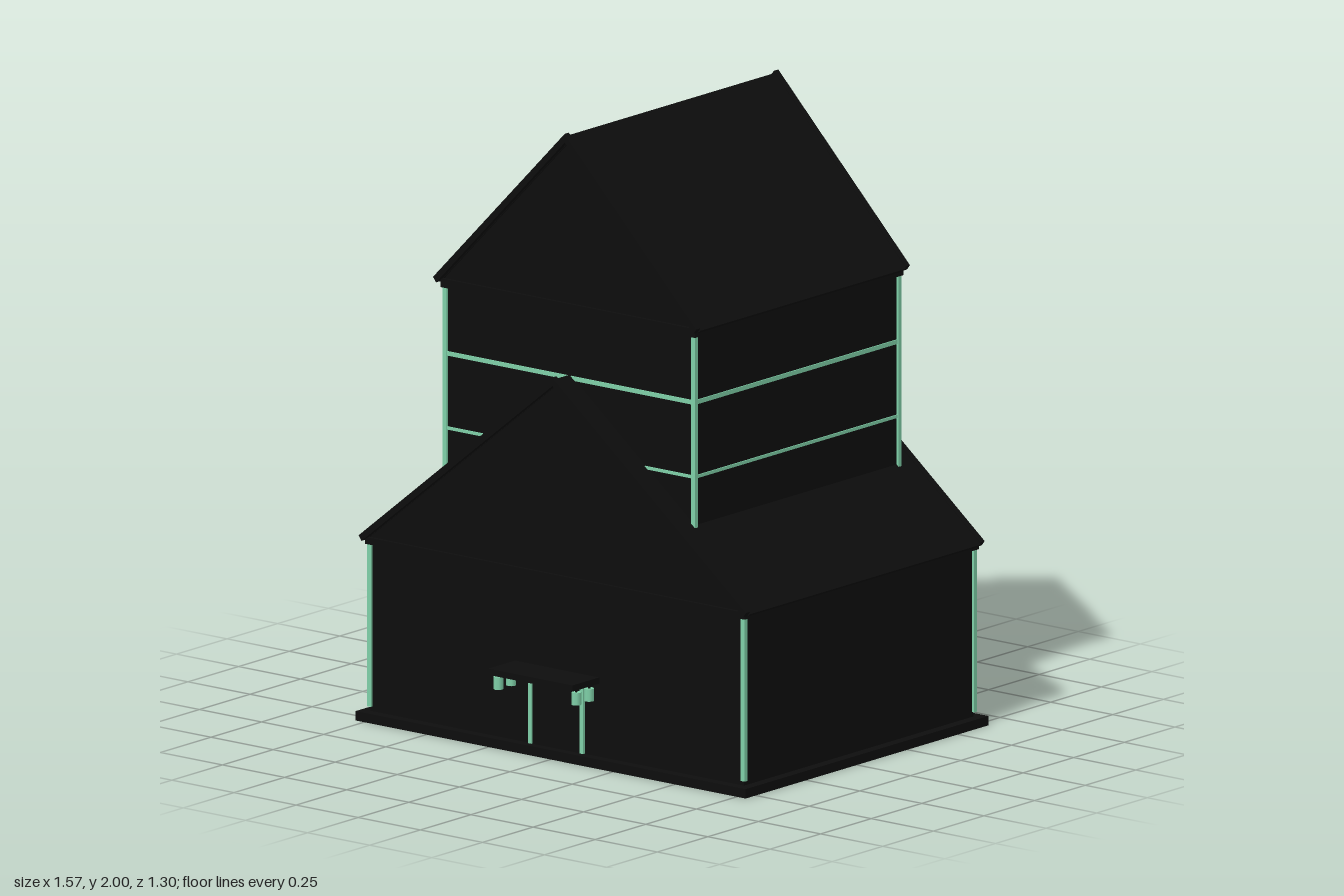
import * as THREE from 'three';

const black = new THREE.MeshStandardMaterial({ color: 0x0d0d0d });
black.name = 'black cladding';
const mint = new THREE.MeshStandardMaterial({ color: 0x7fd0a8 });
mint.name = 'mint trim';

// Box given by its min and max corners
function box(parent, name, material, [x0, y0, z0], [x1, y1, z1]) {
  const mesh = new THREE.Mesh(new THREE.BoxGeometry(x1 - x0, y1 - y0, z1 - z0), material);
  mesh.position.set((x0 + x1) / 2, (y0 + y1) / 2, (z0 + z1) / 2);
  mesh.name = name;
  parent.add(mesh);
}

// Outline in x and y, extruded from z0 to z1
function prism(parent, name, points, z0, z1) {
  const shape = new THREE.Shape(points.map(([x, y]) => new THREE.Vector2(x, y)));
  const geometry = new THREE.ExtrudeGeometry(shape, { depth: z1 - z0, bevelEnabled: false });
  geometry.translate(0, 0, z0);
  const mesh = new THREE.Mesh(geometry, black);
  mesh.name = name;
  parent.add(mesh);
}

// Gabled walls, roof, bargeboards, cornice and corner trims of one storey block
function gabledBlock(name, d) {
  const group = new THREE.Group();
  group.name = name;
  const { w, z0, z1, base, top, trimBase, eaveX, eaveY, ridgeY, roofZ0, roofZ1 } = d;
  const slope = (ridgeY - eaveY) / eaveX;
  const wallTop = ridgeY - slope * w - 0.01;
  prism(group, 'walls', [[-w, base], [w, base], [w, wallTop], [0, ridgeY - 0.01], [-w, wallTop]], z0, z1);

  const chevron = (rise, drop) => [
    [-eaveX, eaveY + rise], [-eaveX + 0.012, eaveY - drop], [0, ridgeY - drop - 0.012],
    [eaveX - 0.012, eaveY - drop], [eaveX, eaveY + rise], [0, ridgeY + rise]];
  prism(group, 'roof', chevron(-0.008, 0.018), roofZ0 + 0.02, roofZ1 - 0.02);
  prism(group, 'backBargeboard', chevron(0, 0.016), roofZ0, roofZ0 + 0.02);
  prism(group, 'frontBargeboard', chevron(0, 0.016), roofZ1 - 0.02, roofZ1);
  box(group, 'cornice', black, [-w - 0.012, top, z0 - 0.012], [w + 0.012, eaveY - 0.005, z1 + 0.012]);

  for (const x of [-w, w]) for (const z of [z0, z1])
    box(group, 'cornerTrim', mint, [x - 0.008, trimBase, z - 0.007], [x + 0.008, top, z + 0.007]);
  return group;
}

export function createModel() {
  const model = new THREE.Group();
  model.name = 'house';

  box(model, 'plinth', black, [-0.785, 0, -0.65], [0.785, 0.03, 0.55]);

  model.add(gabledBlock('lowerHouse', {
    w: 0.752, z0: -0.617, z1: 0.517, base: 0.02, top: 0.568, trimBase: 0.045,
    eaveX: 0.78, eaveY: 0.595, ridgeY: 1.228, roofZ0: -0.637, roofZ1: 0.541 }));

  const tower = gabledBlock('tower', {
    w: 0.5, z0: -0.553, z1: 0.453, base: 0.6, top: 1.422, trimBase: 0.8,
    eaveX: 0.53, eaveY: 1.455, ridgeY: 2, roofZ0: -0.575, roofZ1: 0.48 });
  model.add(tower);

  // Horizontal bands around the tower
  for (const [y, h] of [[0.97, 0.005], [1.21, 0.007]])
    box(tower, 'band', mint, [-0.504, y - h, -0.557], [0.504, y + h, 0.457]);

  // Door with frame
  const entrance = new THREE.Group();
  entrance.name = 'entrance';
  model.add(entrance);
  box(entrance, 'door', black, [-0.1, 0.03, 0.515], [0.1, 0.24, 0.521]);
  for (const x of [-0.104, 0.104])
    box(entrance, 'doorPost', mint, [x - 0.007, 0.03, 0.515], [x + 0.007, 0.252, 0.525]);
  box(entrance, 'doorLintel', mint, [-0.111, 0.239, 0.515], [0.111, 0.252, 0.525]);

  // Canopy with hanging lamps
  box(entrance, 'canopy', black, [-0.17, 0.265, 0.51], [0.17, 0.285, 0.65]);
  const lampGeometry = new THREE.CylinderGeometry(0.016, 0.016, 0.04, 8);
  const stemGeometry = new THREE.CylinderGeometry(0.004, 0.004, 0.02, 6);
  for (const x of [-0.157, 0.157]) for (const z of [0.552, 0.615]) {
    const lamp = new THREE.Mesh(lampGeometry, mint);
    lamp.name = 'lamp';
    lamp.position.set(x, 0.235, z);
    const stem = new THREE.Mesh(stemGeometry, black);
    stem.name = 'lampStem';
    stem.position.set(x, 0.262, z);
    entrance.add(lamp, stem);
  }
  return model;
}
